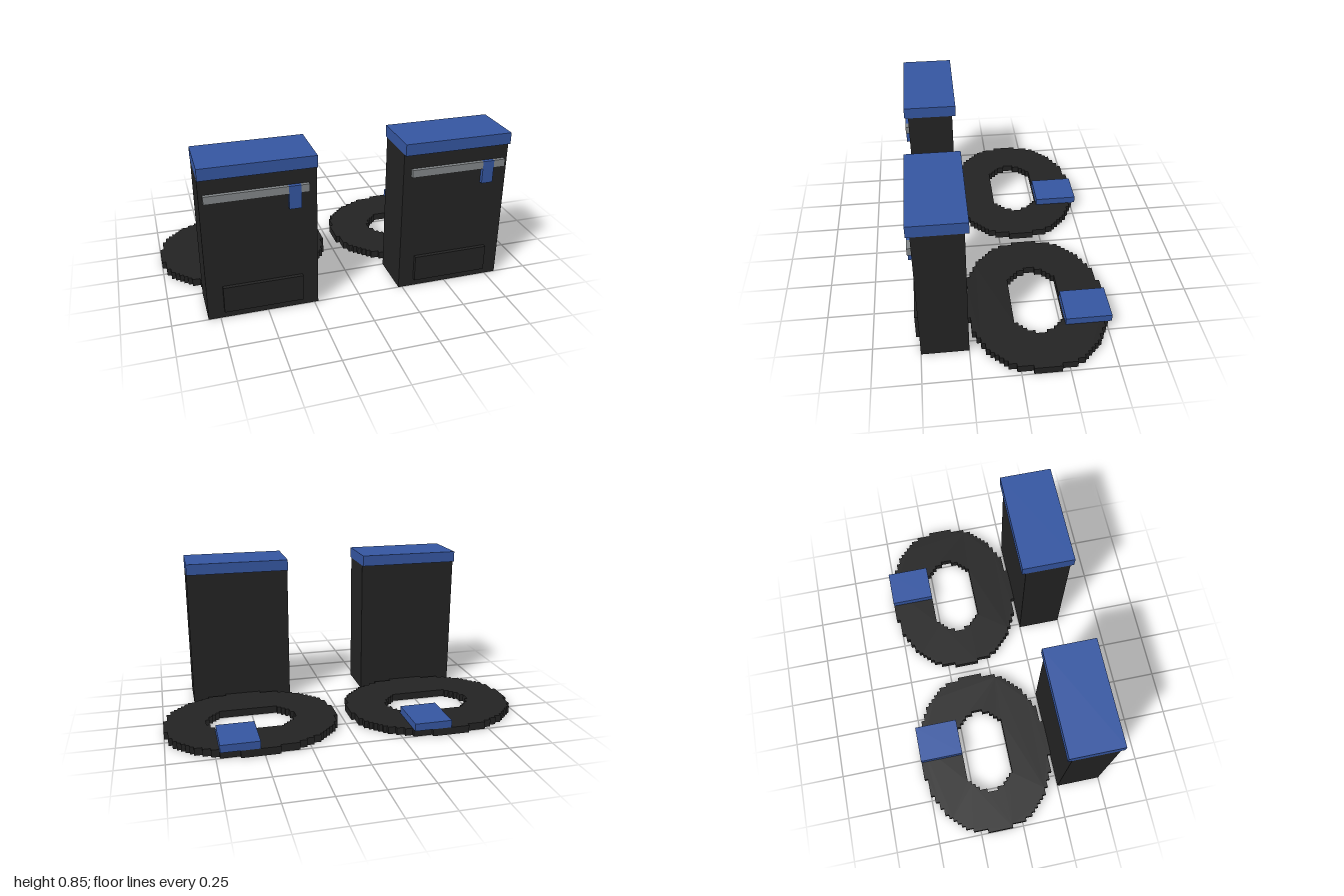
import * as THREE from 'three';

const U = 2 / 96; // one block unit
const black = new THREE.MeshStandardMaterial({ name: 'black', color: 0x232323 });
const blue = new THREE.MeshStandardMaterial({ name: 'blue', color: 0x3556a1 });
const grey = new THREE.MeshStandardMaterial({ name: 'grey', color: 0x838789 });

// Box from its minimum and maximum corners, in block units
function block(name, material, [x0, y0, z0], [x1, y1, z1]) {
  const geometry = new THREE.BoxGeometry((x1 - x0) * U, (y1 - y0) * U, (z1 - z0) * U);
  const mesh = new THREE.Mesh(geometry, material);
  mesh.position.set((x0 + x1) / 2 * U, (y0 + y1) / 2 * U, (z0 + z1) / 2 * U);
  mesh.name = name;
  return mesh;
}

// Stepped oval outline from half widths per row, counted from the middle row outward
function steppedOval(halfWidths) {
  const quarter = [];
  halfWidths.forEach((w, j) => {
    if (j === 0 || w !== halfWidths[j - 1]) {
      if (j > 0) quarter.push([w, j - 0.5]);
    }
    if (j === halfWidths.length - 1 || w !== halfWidths[j + 1]) quarter.push([w, j + 0.5]);
  });
  const flipped = [...quarter].reverse();
  return [
    ...quarter,
    ...flipped.map(([x, y]) => [-x, y]),
    ...quarter.map(([x, y]) => [-x, -y]),
    ...flipped.map(([x, y]) => [x, -y]),
  ].map(([x, y]) => new THREE.Vector2(x * U, y * U));
}

function createRing() {
  const outer = [23, 23, 23, 23, 22, 22, 22, 22, 21, 21, 20, 19, 18, 17, 16, 14, 12, 10, 5];
  const inner = [12, 12, 11, 11, 10, 9, 8];
  const shape = new THREE.Shape(steppedOval(outer));
  shape.holes.push(new THREE.Path(steppedOval(inner)));
  const geometry = new THREE.ExtrudeGeometry(shape, { depth: 2 * U, bevelEnabled: false });
  geometry.rotateX(-Math.PI / 2);
  const ring = new THREE.Mesh(geometry, black);
  ring.position.z = -6.5 * U;
  ring.name = 'floorRing';
  return ring;
}

function createUnit(side) {
  const unit = new THREE.Group();
  // The zip strip reaches one unit further on the outer side
  const zipStart = side < 0 ? -13 : -12;
  const zipEnd = zipStart + 25;
  unit.add(
    block('body', black, [-14, 0, 12], [14, 38, 24]),
    block('lid', blue, [-14, 38, 11], [14, 41, 25]),
    block('frontPocket', black, [-10, 2, 24], [10, 9, 25]),
    block('zipStripLong', grey, [zipStart, 32, 24], [7, 34, 25]),
    block('zipStripShort', grey, [10, 32, 24], [zipEnd, 34, 25]),
    block('zipTag', blue, [7, 28, 24], [10, 34, 25]),
    createRing(),
    block('ringPad', blue, [0, 2, -25], [10, 4, -13]),
  );
  unit.position.x = side * 25 * U;
  unit.name = side < 0 ? 'rightUnit' : 'leftUnit';
  return unit;
}

export function createModel() {
  const model = new THREE.Group();
  model.name = 'pairOfCases';
  for (const side of [-1, 1]) model.add(createUnit(side));
  return model;
}
